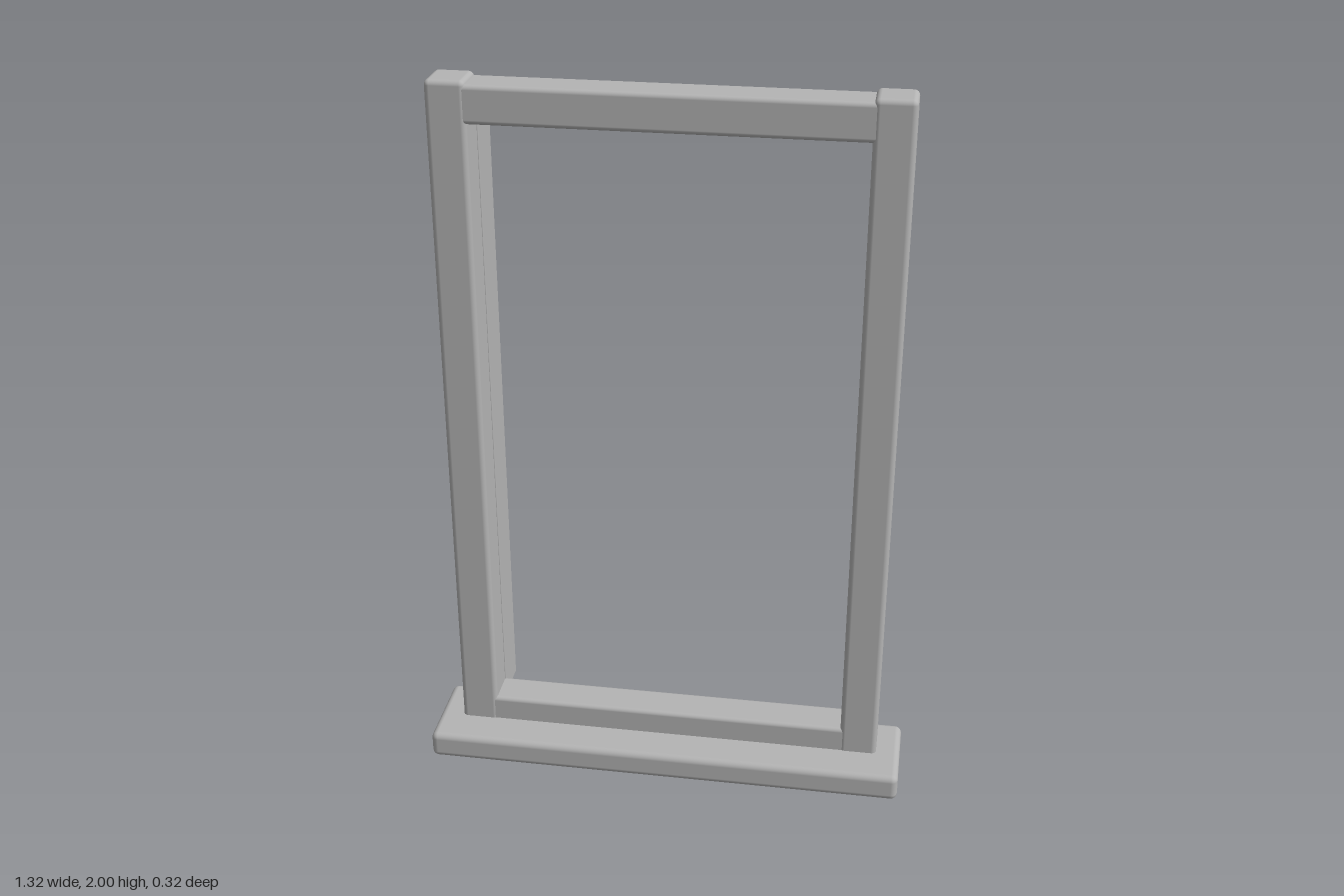
import * as THREE from 'three';
import { RoundedBoxGeometry } from 'three/addons/geometries/RoundedBoxGeometry.js';

const grey = new THREE.MeshStandardMaterial({ color: 0xb4b4b4 });
grey.name = 'painted grey';

// Softly rounded beam given by its limits on each axis
function beam(name, [x0, x1], [y0, y1], [z0, z1], radius) {
  const geometry = new RoundedBoxGeometry(x1 - x0, y1 - y0, z1 - z0, 3, radius);
  const mesh = new THREE.Mesh(geometry, grey);
  mesh.name = name;
  mesh.position.set((x0 + x1) / 2, (y0 + y1) / 2, (z0 + z1) / 2);
  return mesh;
}

export function createModel() {
  const group = new THREE.Group();
  group.name = 'windowFrame';
  const depth = [-0.058, 0.053];

  // Side posts with a thin jamb board behind each
  for (const [side, s] of [['left', 1], ['right', -1]]) {
    const span = (a, b) => (s > 0 ? [a, b] : [-b, -a]);
    group.add(beam(side + 'Post', span(0.49, 0.592), [0.12, 2], depth, 0.014));
    group.add(beam(side + 'JambBoard', span(0.487, 0.523), [0.167, 1.943], [-0.162, -0.045], 0.003));
  }

  // Rails joining the posts
  group.add(beam('headRail', [-0.51, 0.51], [1.892, 1.99], [-0.056, 0.051], 0.012));
  group.add(beam('bottomRail', [-0.51, 0.51], [0.12, 0.217], [-0.056, 0.051], 0.012));

  // Projecting sill and the apron strip below it
  group.add(beam('sill', [-0.66, 0.658], [0.07, 0.147], [-0.098, 0.159], 0.018));
  group.add(beam('apron', [-0.55, 0.545], [0, 0.075], [-0.015, 0.053], 0.011));

  return group;
}
